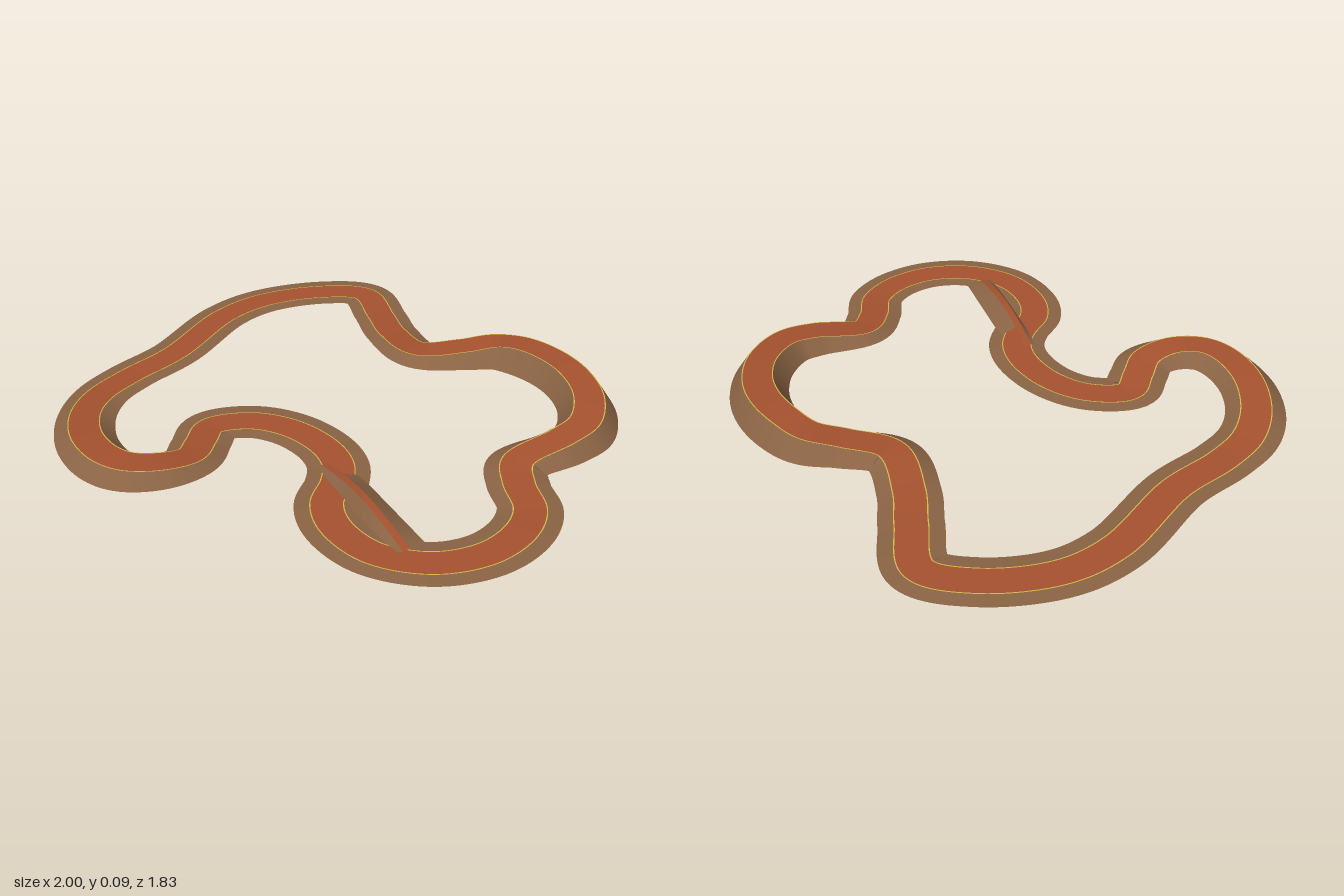
import * as THREE from 'three';

const mat = (name, color) => {
  const m = new THREE.MeshStandardMaterial({ color, side: THREE.DoubleSide });
  m.name = name;
  return m;
};

// Strip swept along frames between two side offsets; each edge is [offset, lift factor]
function strip(name, frames, a, b, material, closed) {
  const pos = [], idx = [];
  for (const { p, s } of frames) {
    for (const [off, lift] of [a, b]) pos.push(p.x + s.x * off, p.y * lift, p.z + s.z * off);
  }
  const n = frames.length;
  for (let i = 0; i < (closed ? n : n - 1); i++) {
    const j = (i + 1) % n;
    idx.push(2 * i, 2 * i + 1, 2 * j, 2 * i + 1, 2 * j + 1, 2 * j);
  }
  const g = new THREE.BufferGeometry();
  g.setAttribute('position', new THREE.Float32BufferAttribute(pos, 3));
  g.setIndex(idx);
  g.computeVertexNormals();
  const mesh = new THREE.Mesh(g, material);
  mesh.name = name;
  return mesh;
}

// Evenly spaced points on a curve with a level sideways direction
function sample(curve, count, closed) {
  const frames = [];
  for (let i = 0; i < (closed ? count : count + 1); i++) {
    const t = curve.getTangentAt(i / count);
    frames.push({ p: curve.getPointAt(i / count), s: new THREE.Vector3(-t.z, 0, t.x).normalize() });
  }
  return frames;
}

export function createModel() {
  const dirt = mat('red dirt', 0xa5522f);
  const bank = mat('brown earth', 0x8a6344);
  const paint = mat('yellow paint', 0xd2b84c);
  const model = new THREE.Group();
  model.name = 'raceTrack';

  // Centre line of the circuit: x, height, z
  const F = 0.004;
  const path = [
    [-0.54, F, -0.81], [-0.36, F, -0.69], [-0.23, 0.01, -0.59], [-0.035, 0.03, -0.505],
    [0.11, 0.05, -0.60], [0.21, 0.07, -0.68], [0.32, 0.086, -0.70], [0.46, 0.087, -0.685],
    [0.59, 0.082, -0.63], [0.71, 0.074, -0.52], [0.775, 0.063, -0.37], [0.755, 0.052, -0.25],
    [0.685, 0.022, -0.06], [0.75, 0.012, 0.045], [0.85, F, 0.14], [0.888, F, 0.27],
    [0.86, F, 0.43], [0.75, F, 0.57], [0.575, F, 0.64], [0.40, F, 0.605],
    [0.295, F, 0.52], [0.245, F, 0.40], [0.185, F, 0.315], [0.08, F, 0.255],
    [-0.09, F, 0.233], [-0.24, F, 0.28], [-0.335, F, 0.395], [-0.29, 0.012, 0.50],
    [-0.245, 0.024, 0.60], [-0.275, 0.042, 0.71], [-0.36, 0.05, 0.79], [-0.46, 0.05, 0.803],
    [-0.61, 0.042, 0.75], [-0.745, 0.025, 0.63], [-0.82, 0.01, 0.485], [-0.838, F, 0.32],
    [-0.828, F, 0.08], [-0.888, F, -0.29], [-0.85, F, -0.5], [-0.70, F, -0.715],
  ].map(p => new THREE.Vector3(...p));
  const loop = new THREE.CatmullRomCurve3(path, true, 'centripetal');
  const frames = sample(loop, 500, true);

  // Road, painted edge lines and sloping banks
  model.add(strip('roadSurface', frames, [0.054, 1], [-0.054, 1], dirt, true));
  model.add(strip('rightEdgeLine', frames, [0.058, 1], [0.054, 1], paint, true));
  model.add(strip('leftEdgeLine', frames, [-0.054, 1], [-0.058, 1], paint, true));
  model.add(strip('rightBank', frames, [0.11, 0], [0.058, 1], bank, true));
  model.add(strip('leftBank', frames, [-0.058, 1], [-0.11, 0], bank, true));

  // Narrow humped ridge cutting across the front right bend
  const ridgePoints = [];
  for (let i = 0; i <= 8; i++) {
    const t = i / 8;
    ridgePoints.push(new THREE.Vector3(0.15 + 0.5 * t, 0.006 + 0.035 * Math.sin(Math.PI * t), 0.345 + 0.225 * t));
  }
  const ridge = sample(new THREE.CatmullRomCurve3(ridgePoints), 40, false);
  const ridgeGroup = new THREE.Group();
  ridgeGroup.name = 'ridge';
  // Banks widen from the tips of the ridge
  ridgeGroup.add(strip('ridgeTop', ridge, [0.012, 1], [-0.014, 1], dirt, false));
  ridgeGroup.add(strip('ridgeOuterBank', ridge, [0.04, 0], [0.012, 1], bank, false));
  ridgeGroup.add(strip('ridgeInnerBank', ridge.slice(8), [-0.014, 1], [-0.078, 0], bank, false));
  model.add(ridgeGroup);
  return model;
}
